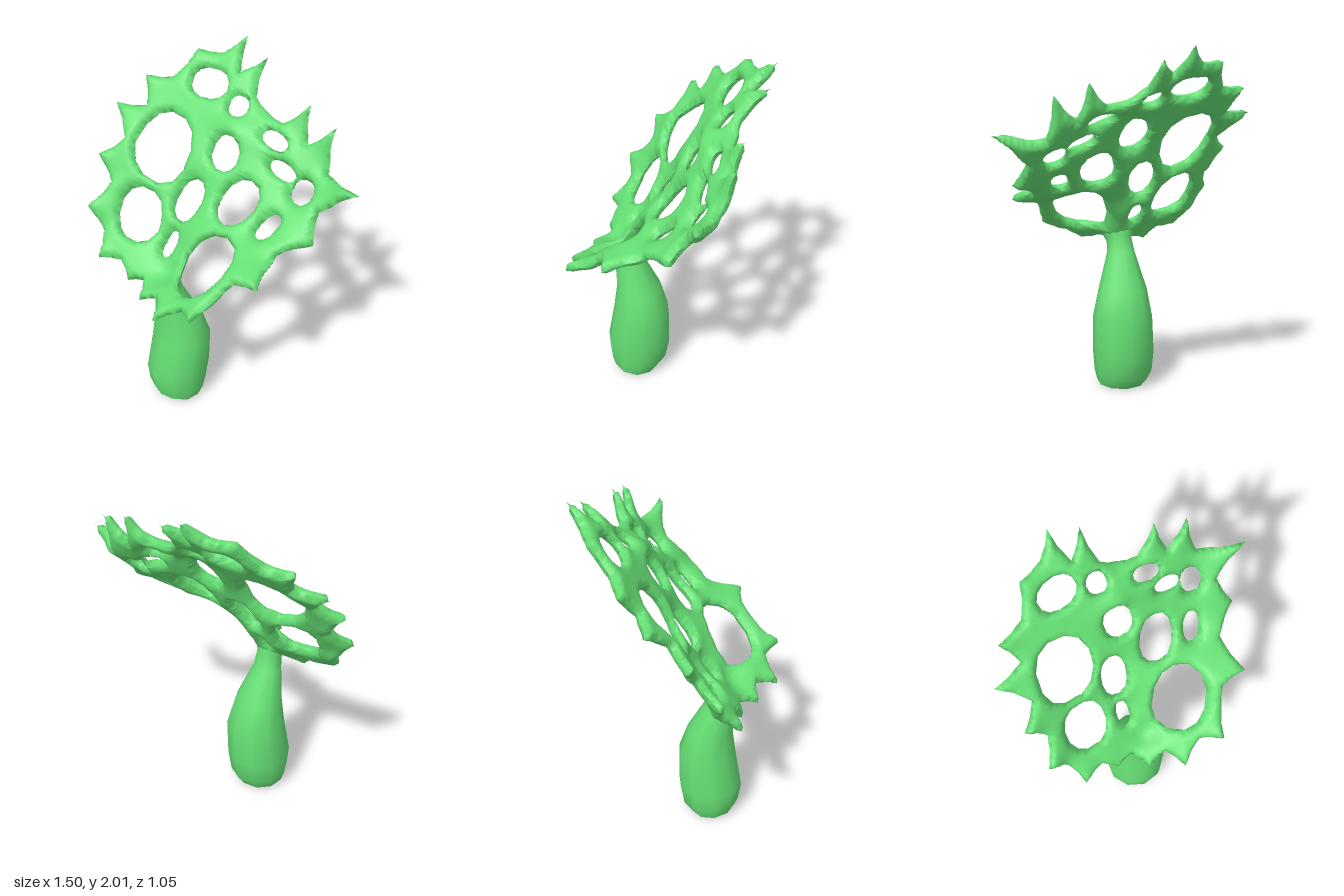
import * as THREE from 'three';
import { mergeVertices } from 'three/addons/utils/BufferGeometryUtils.js';

const R = Math.SQRT1_2;
const material = new THREE.MeshStandardMaterial({ color: 0x66e075, side: THREE.DoubleSide });

// spiky rim of the fan, clockwise from the top: x, y, z
const RIM = [
  [-0.25, 2.01, -0.53], [-0.18, 1.86, -0.4], [-0.09, 1.94, -0.52], [-0.04, 1.78, -0.38],
  [0.05, 1.72, -0.38], [0.16, 1.7, -0.38], [0.28, 1.83, -0.46], [0.33, 1.64, -0.39],
  [0.46, 1.77, -0.46], [0.49, 1.54, -0.38], [0.75, 1.56, -0.32], [0.56, 1.4, -0.24],
  [0.62, 1.27, -0.14], [0.49, 1.21, 0.0], [0.56, 1.13, 0.21], [0.42, 1.11, 0.24],
  [0.38, 1.02, 0.33], [0.34, 0.94, 0.48], [0.22, 0.91, 0.42], [0.1, 0.83, 0.52],
  [0.02, 0.87, 0.41], [-0.09, 0.82, 0.45], [-0.16, 0.86, 0.35], [-0.25, 0.83, 0.39],
  [-0.33, 0.91, 0.36], [-0.45, 0.9, 0.43], [-0.51, 1.0, 0.33], [-0.62, 1.13, 0.35],
  [-0.57, 1.25, 0.21], [-0.68, 1.38, 0.2], [-0.59, 1.47, 0.08], [-0.75, 1.6, 0.0],
  [-0.58, 1.62, -0.08], [-0.66, 1.75, -0.15], [-0.51, 1.77, -0.23], [-0.46, 1.91, -0.36],
  [-0.33, 1.91, -0.43],
];

// openings: centre x, y, z, half width, half height along the slope, tilt
const HOLES = [
  [-0.375, 1.475, -0.01, 0.155, 0.195, 0],
  [-0.355, 1.105, 0.17, 0.12, 0.15, 0.1],
  [0.175, 1.06, 0.2, 0.145, 0.195, -0.35],
  [0.145, 1.33, -0.07, 0.095, 0.14, -0.3],
  [-0.13, 1.25, 0.02, 0.072, 0.125, -0.1],
  [-0.035, 1.52, -0.155, 0.08, 0.095, 0.1],
  [-0.3, 1.79, -0.29, 0.11, 0.085, 0.25],
  [-0.09, 1.73, -0.3, 0.055, 0.06, 0.2],
  [0.355, 1.27, -0.09, 0.045, 0.085, -0.3],
  [0.42, 1.43, -0.28, 0.06, 0.07, 0],
  [0.28, 1.51, -0.265, 0.075, 0.042, -0.1],
  [0.18, 1.645, -0.295, 0.075, 0.045, -0.1],
  [-0.135, 1.02, 0.16, 0.035, 0.08, 0],
];

// work in a plane leaning back 45 degrees: x, slope, height above the plane
const lean = ([x, y, z]) => [x, (y - z) * R, (y + z) * R];
const SAMPLES = [...RIM, ...HOLES, [-0.06, 0.9, 0.25], [-0.03, 1.65, -0.21]].map(lean);

// height of the warped sheet: a plane fitted to the nearby known points
function sheetHeight(x, v) {
  let n = 0, mx = 0, mv = 0, mw = 0;
  const near = SAMPLES.map(([sx, sv, sw]) => {
    const k = 1 / ((x - sx) ** 2 + (v - sv) ** 2 + 0.003) ** 2;
    n += k; mx += k * sx; mv += k * sv; mw += k * sw;
    return [k, sx, sv, sw];
  });
  mx /= n; mv /= n; mw /= n;
  let xx = n * 0.002, vv = n * 0.002, xv = 0, xw = 0, vw = 0;
  for (const [k, sx, sv, sw] of near) {
    const dx = sx - mx, dv = sv - mv, dw = sw - mw;
    xx += k * dx * dx; vv += k * dv * dv; xv += k * dx * dv;
    xw += k * dx * dw; vw += k * dv * dw;
  }
  const det = xx * vv - xv * xv;
  return mw + ((xw * vv - vw * xv) * (x - mx) + (vw * xx - xw * xv) * (v - mv)) / det;
}

// point above or below the sheet, back in model space
function onSheet(x, v, offset) {
  const w = sheetHeight(x, v) + offset;
  return [x, (v + w) * R, (w - v) * R];
}

// rim outline whose edges bow slightly inwards, which sharpens the spikes
function rimOutline() {
  const corners = RIM.map(lean);
  return corners.flatMap(([x, v], i) => {
    const [nx, nv] = corners[(i + 1) % corners.length];
    const dx = nx - x, dv = nv - v;
    return [new THREE.Vector2(x, v),
      new THREE.Vector2(x + dx / 2 + dv * 0.05, v + dv / 2 - dx * 0.05)];
  });
}

function holeOutline([x, y, z, rx, rv, tilt]) {
  const [cx, cv] = lean([x, y, z]);
  const soften = (t) => Math.sign(t) * Math.abs(t) ** 0.9;
  return Array.from({ length: 12 }, (_, i) => {
    const a = (i + 0.5) / 12 * Math.PI * 2;
    return new THREE.Vector2(rx * soften(Math.cos(a)), rv * soften(Math.sin(a)))
      .rotateAround(new THREE.Vector2(), tilt).add(new THREE.Vector2(cx, cv));
  });
}

// halve the longest edge of every triangle until all edges are short
function subdivide(triangles, limit) {
  const done = [], stack = [...triangles];
  while (stack.length) {
    const t = stack.pop();
    const lengths = t.map((p, i) => p.distanceTo(t[(i + 1) % 3]));
    const e = lengths.indexOf(Math.max(...lengths));
    if (lengths[e] <= limit) { done.push(t); continue; }
    const a = t[e], b = t[(e + 1) % 3], c = t[(e + 2) % 3];
    const m = a.clone().add(b).multiplyScalar(0.5);
    stack.push([a, m, c], [m, b, c]);
  }
  return done;
}

function createFan() {
  const outlines = [rimOutline(), ...HOLES.map(holeOutline)];
  const shape = new THREE.Shape(outlines[0]);
  shape.holes = outlines.slice(1).map((points) => new THREE.Path(points));

  const flat = new THREE.ShapeGeometry(shape).toNonIndexed().attributes.position;
  const triangles = [];
  for (let i = 0; i < flat.count; i += 3) {
    triangles.push([0, 1, 2].map((k) => new THREE.Vector2(flat.getX(i + k), flat.getY(i + k))));
  }

  const edgeDistance = (p) => {
    let best = Infinity;
    for (const line of outlines) {
      line.forEach((a, i) => {
        const b = line[(i + 1) % line.length];
        const dx = b.x - a.x, dy = b.y - a.y;
        const t = THREE.MathUtils.clamp(
          ((p.x - a.x) * dx + (p.y - a.y) * dy) / (dx * dx + dy * dy), 0, 1);
        best = Math.min(best, Math.hypot(p.x - a.x - t * dx, p.y - a.y - t * dy));
      });
    }
    return best;
  };

  // front and back skins, swelling from the edges into rounded ribs
  const positions = [];
  const place = (p, side) => {
    const inset = 1 - Math.min(edgeDistance(p) / 0.045, 1);
    positions.push(...onSheet(p.x, p.y, side * 0.035 * Math.sqrt(1 - inset * inset)));
  };
  for (const [a, b, c] of subdivide(triangles, 0.028)) {
    [a, b, c].forEach((p) => place(p, 1));
    [a, c, b].forEach((p) => place(p, -1));
  }
  let geometry = new THREE.BufferGeometry();
  geometry.setAttribute('position', new THREE.Float32BufferAttribute(positions, 3));
  geometry = mergeVertices(geometry, 1e-4);
  geometry.computeVertexNormals();
  const fan = new THREE.Mesh(geometry, material);
  fan.name = 'latticeFan';
  return fan;
}

// hollow stalk, open at the foot
function createStalk() {
  // rings: y, centre x, centre z, half width, half depth, rise towards the front
  const rings = [
    [0.016, -0.07, 0.205, 0.145, 0.13, 0.016],
    [0.08, -0.075, 0.19, 0.168, 0.165, 0.01],
    [0.2, -0.075, 0.185, 0.177, 0.185, 0],
    [0.42, -0.065, 0.165, 0.172, 0.165, 0],
    [0.58, -0.07, 0.18, 0.14, 0.13, 0],
    [0.78, -0.075, 0.24, 0.08, 0.08, -0.01],
    [0.85, -0.07, 0.26, 0.072, 0.068, -0.04],
  ];
  const sides = 10, positions = [], index = [];
  for (let r = 0; r <= rings.length; r++) {
    for (let i = 0; i < sides; i++) {
      const a = i / sides * Math.PI * 2, s = Math.sin(a), c = Math.cos(a);
      if (r === rings.length) {
        // the neck flares out onto the sheet
        positions.push(...onSheet(-0.06 + 0.1 * s, 0.46 - 0.08 * c, -0.01));
        continue;
      }
      const [y, cx, cz, rx, rz, rise] = rings[r];
      positions.push(cx + rx * s, y + rise * c, cz + rz * c);
      const p = r * sides + i, q = r * sides + (i + 1) % sides;
      index.push(p, q, q + sides, p, q + sides, p + sides);
    }
  }
  const geometry = new THREE.BufferGeometry();
  geometry.setAttribute('position', new THREE.Float32BufferAttribute(positions, 3));
  geometry.setIndex(index);
  geometry.computeVertexNormals();
  const stalk = new THREE.Mesh(geometry, material);
  stalk.name = 'stalk';
  return stalk;
}

export function createModel() {
  const group = new THREE.Group();
  group.name = 'fanCoral';
  group.add(createFan(), createStalk());
  return group;
}
